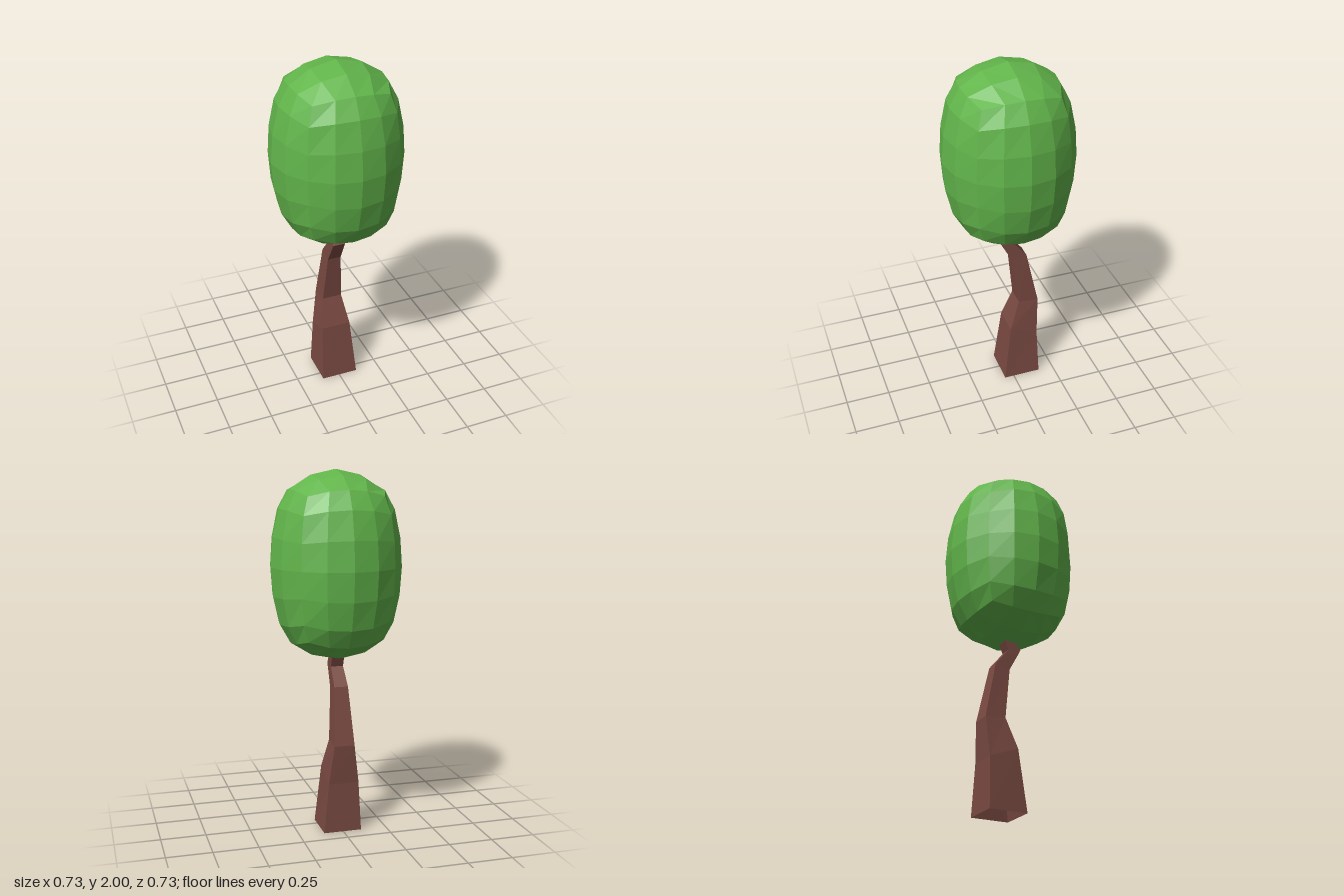
import * as THREE from 'three';

const leafGreen = new THREE.MeshStandardMaterial({ color: 0x62b54b, flatShading: true });
leafGreen.name = 'leafGreen';
const barkBrown = new THREE.MeshStandardMaterial({ color: 0x7a4a42, flatShading: true, side: THREE.DoubleSide });
barkBrown.name = 'barkBrown';

// Crown: a gridded box rounded to a ball, then stretched into a tall capsule-like shape
function crownGeometry() {
  const radius = 0.363, halfHeight = 0.52, centerY = 1.48;
  const rowHeight = [0, 0.308, 0.604]; // heights of the side rows, as shares of halfHeight
  const geo = new THREE.BoxGeometry(2, 2, 2, 4, 6, 4);
  const pos = geo.attributes.position;
  const p = new THREE.Vector3();
  for (let i = 0; i < pos.count; i++) {
    p.fromBufferAttribute(pos, i);
    const row = Math.round(Math.abs(p.y) * 3), side = Math.sign(p.y);
    p.set(...p.toArray().map((c) => Math.tan(c * Math.PI / 4))).normalize();
    const s = Math.abs(p.y);
    let h = 0;
    if (row === 3) h = 0.6 + 0.4 * s * s; // caps
    else if (row > 0) h = rowHeight[row] * Math.pow(s / Math.sin(row * Math.PI / 12), 0.35);
    pos.setXYZ(i, p.x * radius, centerY + side * h * halfHeight, p.z * radius);
  }
  geo.computeVertexNormals();
  return geo;
}

// Trunk: open four-sided tube through bent, tapering cross-sections
function trunkGeometry() {
  // centre x, half width, front y, front z, back y, back z
  const sections = [
    [0.003, 0.107, 0, 0.055, 0, -0.16],
    [-0.004, 0.086, 0.34, 0.01, 0.28, -0.153],
    [-0.005, 0.057, 0.51, -0.05, 0.5, -0.167],
    [-0.004, 0.039, 0.8, -0.015, 0.82, -0.1],
    [-0.003, 0.035, 0.93, 0.055, 0.92, -0.02],
    [-0.003, 0.035, 0.985, 0.015, 0.985, -0.045],
  ];
  const points = [], index = [];
  sections.forEach(([x, w, fy, fz, by, bz], i) => {
    points.push(x + w, fy, fz, x + w, by, bz, x - w, by, bz, x - w, fy, fz);
    if (i === 0) return;
    for (let k = 0; k < 4; k++) {
      const a = (i - 1) * 4 + k, b = (i - 1) * 4 + (k + 1) % 4;
      index.push(a, b, b + 4, a, b + 4, a + 4);
    }
  });
  const geo = new THREE.BufferGeometry();
  geo.setAttribute('position', new THREE.Float32BufferAttribute(points, 3));
  geo.setIndex(index);
  geo.computeVertexNormals();
  return geo;
}

export function createModel() {
  const tree = new THREE.Group();
  tree.name = 'tree';
  const crown = new THREE.Mesh(crownGeometry(), leafGreen);
  crown.name = 'crown';
  const trunk = new THREE.Mesh(trunkGeometry(), barkBrown);
  trunk.name = 'trunk';
  tree.add(crown, trunk);
  return tree;
}
